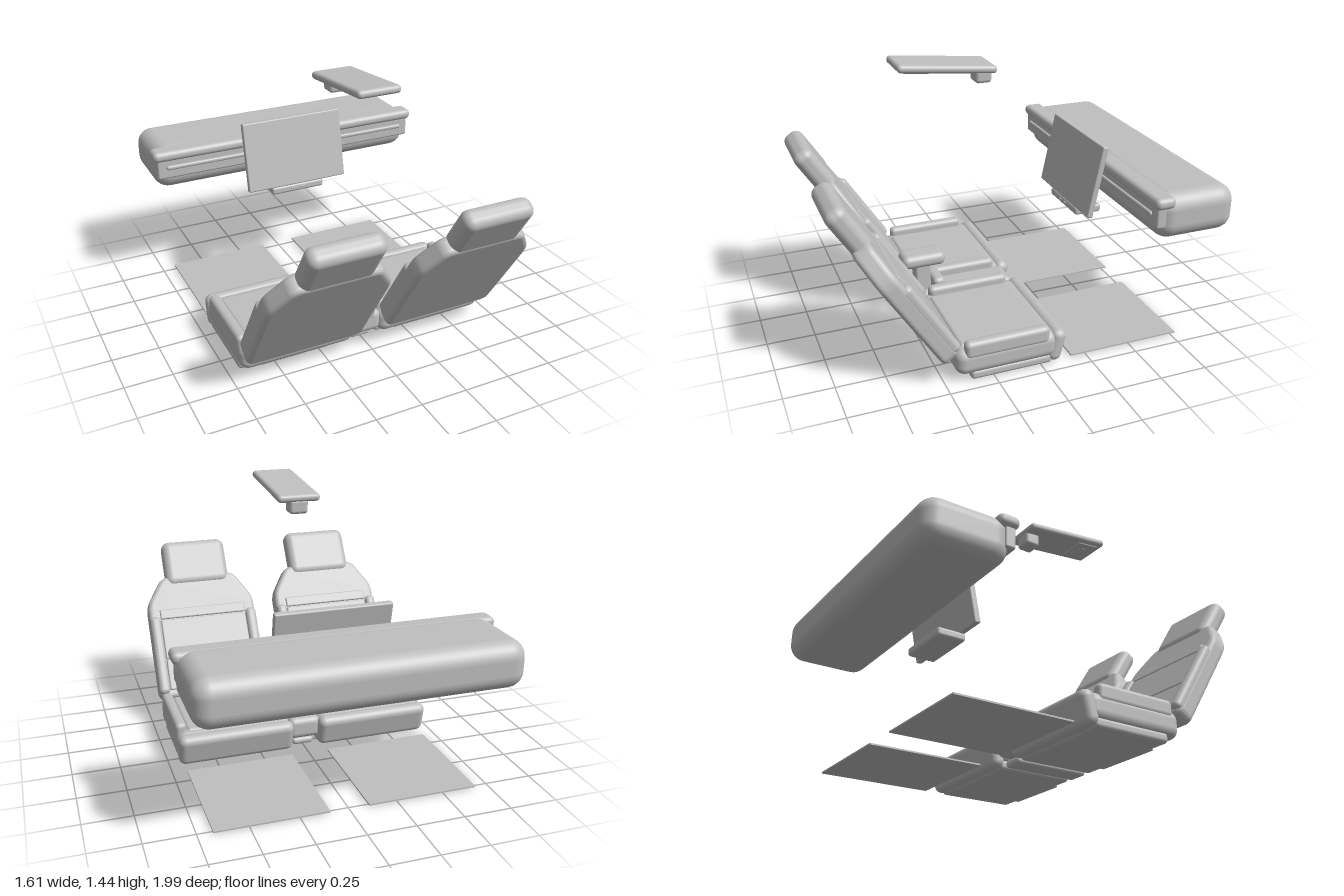
import * as THREE from 'three';
import { RoundedBoxGeometry } from 'three/addons/geometries/RoundedBoxGeometry.js';

const grey = new THREE.MeshStandardMaterial({ color: 0xbfbfbf });
grey.name = 'soft grey';

// Rounded box given by its extents on each axis
function block(parent, name, [x0, x1], [y0, y1], [z0, z1], r) {
  const w = x1 - x0, h = y1 - y0, d = z1 - z0;
  const radius = Math.min(r, w * 0.49, h * 0.49, d * 0.49);
  const mesh = new THREE.Mesh(new RoundedBoxGeometry(w, h, d, 4, radius), grey);
  mesh.name = name;
  mesh.position.set((x0 + x1) / 2, (y0 + y1) / 2, (z0 + z1) / 2);
  parent.add(mesh);
  return mesh;
}

function group(parent, name) {
  const g = new THREE.Group();
  g.name = name;
  parent.add(g);
  return g;
}

// Backrest outline with sloping shoulders, extruded with a soft bevel
function backrestGeometry() {
  const b = 0.025, s = new THREE.Shape();
  s.moveTo(-0.27, 0.40);
  s.lineTo(0.27, 0.40);
  s.quadraticCurveTo(0.294, 0.40, 0.294, 0.425);
  s.lineTo(0.294, 0.89);
  s.quadraticCurveTo(0.294, 0.93, 0.275, 0.96);
  s.lineTo(0.215, 1.055);
  s.quadraticCurveTo(0.2, 1.075, 0.17, 1.075);
  s.lineTo(-0.17, 1.075);
  s.quadraticCurveTo(-0.2, 1.075, -0.215, 1.055);
  s.lineTo(-0.275, 0.96);
  s.quadraticCurveTo(-0.294, 0.93, -0.294, 0.89);
  s.lineTo(-0.294, 0.425);
  s.quadraticCurveTo(-0.294, 0.40, -0.27, 0.40);
  const geo = new THREE.ExtrudeGeometry(s, {
    depth: 0.05, bevelEnabled: true, bevelThickness: b, bevelSize: b, bevelSegments: 4, curveSegments: 6,
  });
  return geo.translate(0, 0, 0.285);
}

function makeSeat(parent, name, x) {
  const seat = group(parent, name);
  seat.position.x = x;

  // Cushion, front roll and base
  block(seat, 'seatCushion', [-0.315, 0.315], [0.04, 0.18], [-0.09, 0.445], 0.05);
  block(seat, 'cushionPad', [-0.255, 0.255], [0.12, 0.188], [-0.04, 0.41], 0.02);
  const roll = block(seat, 'frontRoll', [-0.315, 0.315], [0.012, 0.185], [-0.125, -0.045], 0.038);
  roll.rotation.x = -0.24;
  block(seat, 'seatBase', [-0.305, 0.305], [0.008, 0.06], [-0.06, 0.37], 0.02);
  block(seat, 'seatBaseRail', [-0.19, 0.19], [0.005, 0.035], [-0.05, 0.378], 0.01);
  block(seat, 'rearSeam', [-0.22, 0.22], [0.09, 0.1], [0.435, 0.449], 0.004);
  for (const s of [-1, 1]) {
    block(seat, 'cushionBolster', [s * 0.287 - 0.03, s * 0.287 + 0.03], [0.135, 0.225], [-0.04, 0.40], 0.025);
  }

  // Reclined back, modelled upright and then tilted
  const back = group(seat, 'seatBack');
  back.rotation.x = 0.57;
  const rest = new THREE.Mesh(backrestGeometry(), grey);
  rest.name = 'backrest';
  back.add(rest);
  for (const [y0, y1] of [[0.42, 0.598], [0.602, 0.838], [0.842, 0.9]]) {
    block(back, 'backPad', [-0.255, 0.255], [y0, y1], [0.252, 0.29], 0.008);
  }
  for (const s of [-1, 1]) {
    block(back, 'backBolster', [s * 0.287 - 0.032, s * 0.287 + 0.032], [0.4, 0.86], [0.236, 0.3], 0.027);
  }
  block(back, 'headrest', [-0.19, 0.19], [1.04, 1.318], [0.247, 0.357], 0.045);
}

export function createModel() {
  const model = new THREE.Group();
  model.name = 'carInterior';

  makeSeat(model, 'leftSeat', 0.387);
  makeSeat(model, 'rightSeat', -0.387);

  // Floor mats
  for (const s of [-1, 1]) {
    const mat = new THREE.Mesh(new THREE.BoxGeometry(0.575, 0.008, 0.605), grey);
    mat.name = 'floorMat';
    mat.position.set(s * 0.388, 0.015, -0.472);
    model.add(mat);
  }

  // Centre console with armrest
  const consoleGroup = group(model, 'centreConsole');
  block(consoleGroup, 'consoleBody', [-0.09, 0.09], [0.06, 0.18], [-0.09, 0.43], 0.035);
  block(consoleGroup, 'consoleRiser', [-0.08, 0.08], [0.14, 0.247], [0.295, 0.36], 0.025);
  block(consoleGroup, 'consoleFoot', [-0.06, 0.06], [0.006, 0.045], [-0.05, 0.37], 0.018);
  block(consoleGroup, 'armrestPost', [-0.043, 0.043], [0.16, 0.34], [0.365, 0.448], 0.012);
  block(consoleGroup, 'armrest', [-0.067, 0.067], [0.317, 0.39], [0.285, 0.52], 0.033);

  // Dashboard
  const dash = group(model, 'dashboard');
  block(dash, 'dashboardBody', [-0.79, 0.79], [0.622, 0.862], [-1.0, -0.56], 0.085);
  block(dash, 'dashboardLedge', [-0.805, 0.805], [0.803, 0.862], [-0.64, -0.53], 0.027);
  block(dash, 'dashboardFascia', [-0.785, 0.785], [0.70, 0.815], [-0.6, -0.545], 0.012);
  block(dash, 'fasciaStrip', [-0.735, 0.735], [0.753, 0.777], [-0.56, -0.532], 0.01);

  // Leaning display on its bracket
  const display = group(model, 'display');
  const panel = block(display, 'displayPanel', [-0.3, 0.3], [0.566, 0.962], [-0.497, -0.463], 0.008);
  panel.rotation.x = -0.2;
  block(display, 'displayBracket', [-0.16, 0.16], [0.527, 0.573], [-0.58, -0.425], 0.015);
  for (const s of [-1, 1]) {
    block(display, 'bracketButton', [s * 0.03 - 0.014, s * 0.03 + 0.014], [0.55, 0.558], [-0.43, -0.42], 0.003);
  }

  // Overhead panel with lamp pod
  const overhead = group(model, 'overheadConsole');
  const slab = group(overhead, 'overheadSlab');
  slab.position.set(0, 1.4, 0.265);
  slab.rotation.x = -0.1;
  block(slab, 'overheadPanel', [-0.114, 0.114], [-0.02, 0.02], [-0.257, 0.257], 0.019);
  block(slab, 'lampPlate', [-0.085, 0.085], [-0.027, -0.015], [0.09, 0.22], 0.005);
  const lamp = new THREE.Mesh(new THREE.SphereGeometry(1, 20, 10), grey);
  lamp.name = 'lamp';
  lamp.scale.set(0.05, 0.012, 0.035);
  lamp.position.set(0, -0.026, 0.145);
  slab.add(lamp);
  block(overhead, 'overheadPod', [-0.05, 0.05], [1.293, 1.37], [0.015, 0.102], 0.018);

  return model;
}
